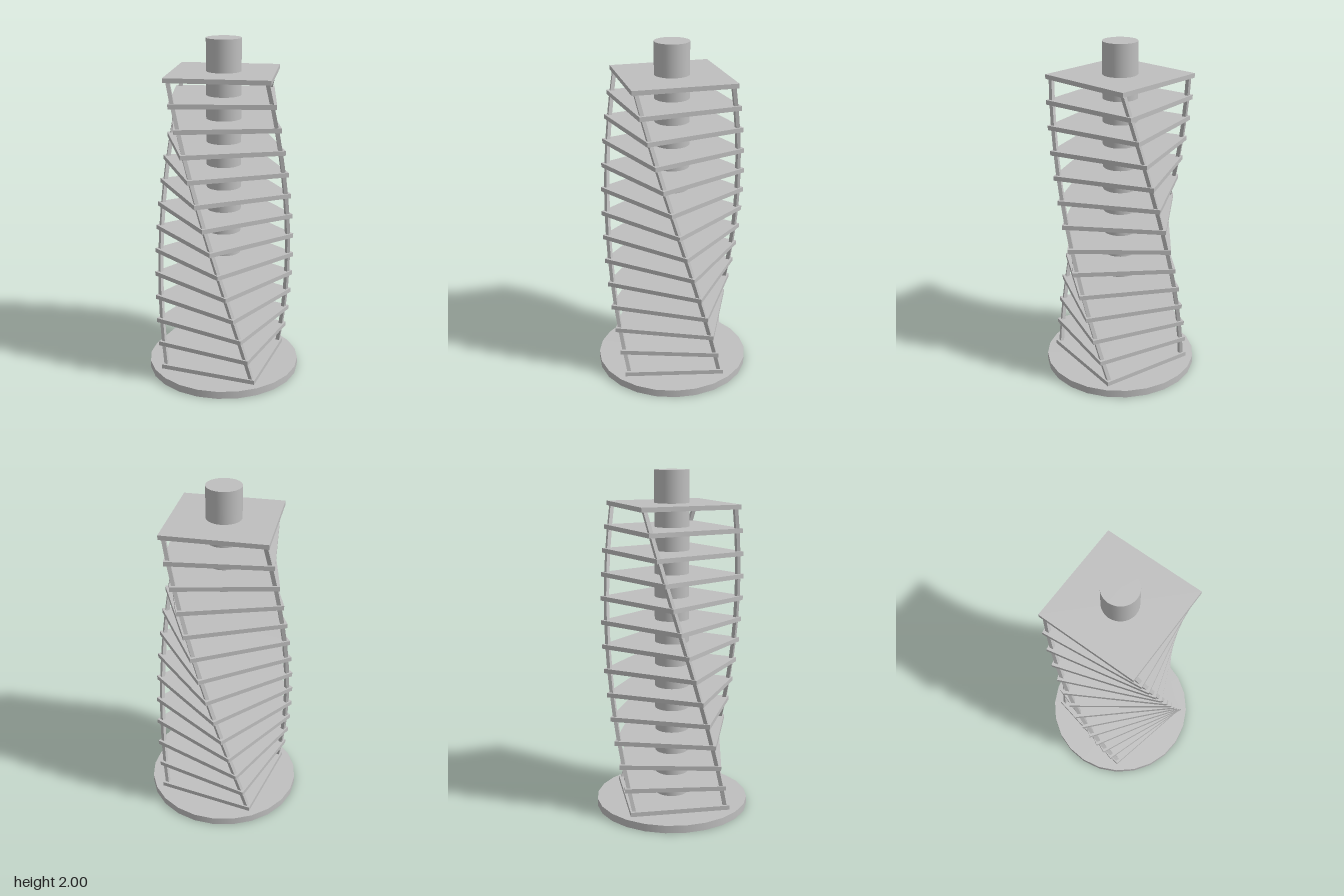
import * as THREE from 'three';

const FLOORS = 14;
const TWIST = -Math.PI / 30; // six degrees per floor
const FIRST_Y = 0.058;
const STEP = 0.1342;
const SLAB = 0.585;
const SLAB_THICKNESS = 0.026;
const COLUMN_RADIUS = 0.38;
const COLUMN_WIDTH = 0.022;

export function createModel() {
  const concrete = new THREE.MeshStandardMaterial({ color: 0xbfbfbf });
  concrete.name = 'concrete grey';

  const model = new THREE.Group();
  model.name = 'twistedTower';

  const add = (name, geometry, parent = model) => {
    const mesh = new THREE.Mesh(geometry, concrete);
    mesh.name = name;
    parent.add(mesh);
    return mesh;
  };

  // Round base plate and central core
  add('base', new THREE.CylinderGeometry(0.455, 0.455, 0.045, 24)).position.y = 0.0225;
  add('core', new THREE.CylinderGeometry(0.1, 0.1, 1.96, 32)).position.y = 1.02;

  // Square floor slabs, each turned a little further than the one below
  const floors = new THREE.Group();
  floors.name = 'floors';
  model.add(floors);
  const slabGeometry = new THREE.BoxGeometry(SLAB, SLAB_THICKNESS, SLAB);
  for (let i = 0; i < FLOORS; i++) {
    const slab = add('floorSlab', slabGeometry, floors);
    slab.position.y = FIRST_Y + i * STEP;
    slab.rotation.y = i * TWIST;
  }

  // Leaning column pieces joining the corners of neighbouring floors
  const columns = new THREE.Group();
  columns.name = 'columns';
  model.add(columns);
  const corner = (floor, k) => {
    const a = Math.PI / 4 + k * Math.PI / 2 + floor * TWIST;
    return new THREE.Vector3(
      COLUMN_RADIUS * Math.sin(a), FIRST_Y + floor * STEP, COLUMN_RADIUS * Math.cos(a));
  };
  const length = corner(0, 0).distanceTo(corner(1, 0));
  const columnGeometry = new THREE.BoxGeometry(COLUMN_WIDTH, length, COLUMN_WIDTH);
  for (let k = 0; k < 4; k++) {
    for (let i = 0; i < FLOORS - 1; i++) {
      const start = corner(i, k);
      const end = corner(i + 1, k);
      const along = end.clone().sub(start).normalize();
      const middle = start.add(end).multiplyScalar(0.5);
      const outward = new THREE.Vector3(middle.x, 0, middle.z).normalize();
      const side = new THREE.Vector3().crossVectors(along, outward);
      // Square section turned to line up with the slab edges
      const turn = new THREE.Matrix4().makeRotationY(Math.PI / 4);
      const column = add('column', columnGeometry, columns);
      column.quaternion.setFromRotationMatrix(
        new THREE.Matrix4().makeBasis(side, along, outward).multiply(turn));
      column.position.copy(middle);
    }
  }
  return model;
}
